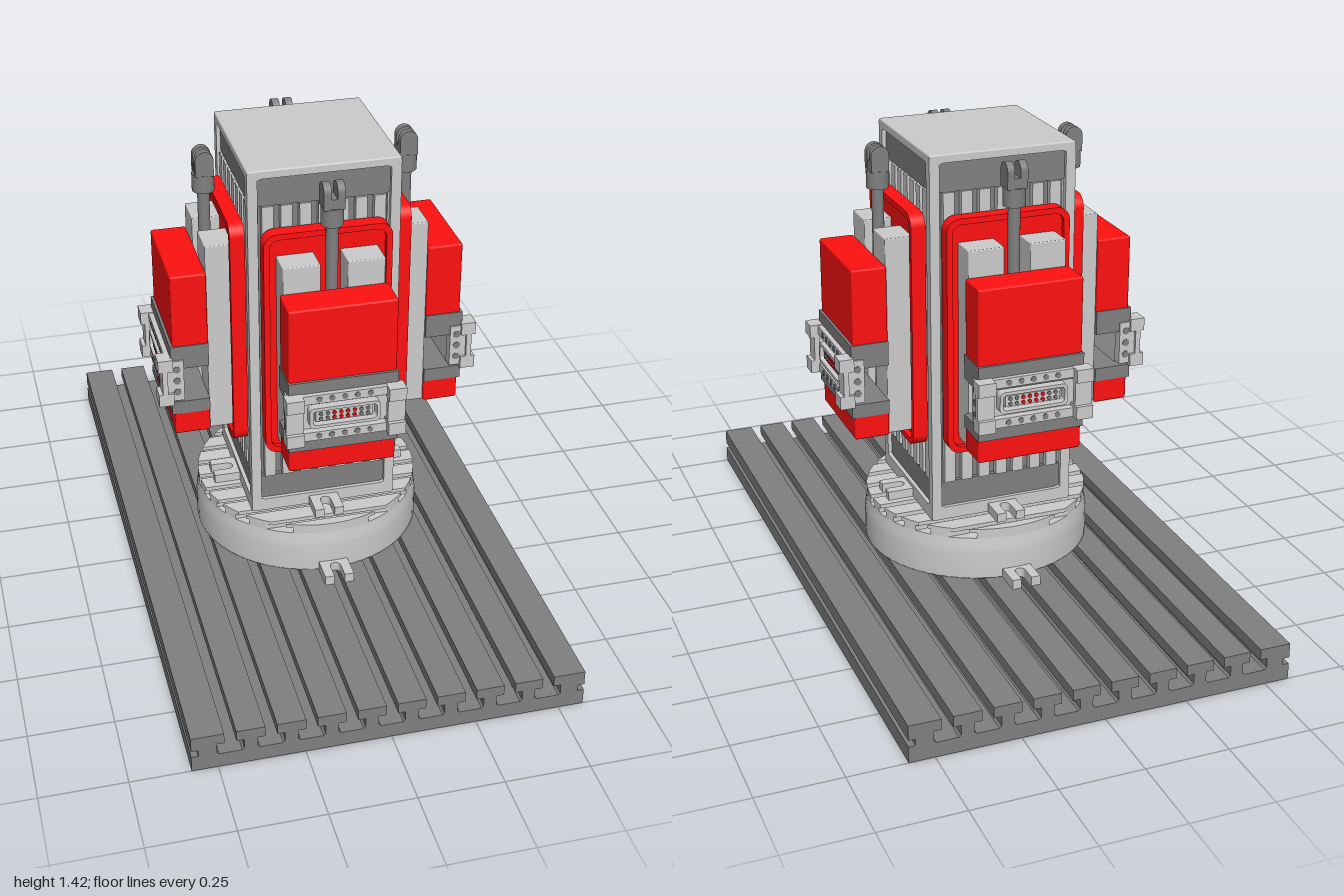
import * as THREE from 'three';
import { RoundedBoxGeometry } from 'three/addons/geometries/RoundedBoxGeometry.js';

const light = new THREE.MeshStandardMaterial({ color: 0xcccccc });
const dark = new THREE.MeshStandardMaterial({ color: 0x808080 });
const red = new THREE.MeshStandardMaterial({ color: 0xff1010 });

function add(parent, name, geometry, material, x = 0, y = 0, z = 0) {
  const mesh = new THREE.Mesh(geometry, material);
  mesh.name = name;
  mesh.position.set(x, y, z);
  parent.add(mesh);
  return mesh;
}

// Box given by its limits on each axis
function box(parent, name, material, [x0, x1], [y0, y1], [z0, z1], radius = 0) {
  const s = [x1 - x0, y1 - y0, z1 - z0];
  const g = radius ? new RoundedBoxGeometry(...s, 2, radius) : new THREE.BoxGeometry(...s);
  return add(parent, name, g, material, (x0 + x1) / 2, (y0 + y1) / 2, (z0 + z1) / 2);
}

function roundRect(path, x0, y0, x1, y1, r) {
  path.moveTo(x0 + r, y0);
  path.lineTo(x1 - r, y0).absarc(x1 - r, y0 + r, r, -Math.PI / 2, 0);
  path.lineTo(x1, y1 - r).absarc(x1 - r, y1 - r, r, 0, Math.PI / 2);
  path.lineTo(x0 + r, y1).absarc(x0 + r, y1 - r, r, Math.PI / 2, Math.PI);
  path.lineTo(x0, y0 + r).absarc(x0 + r, y0 + r, r, Math.PI, Math.PI * 1.5);
  return path;
}

const extrude = (shape, depth) =>
  new THREE.ExtrudeGeometry(shape, { depth, bevelEnabled: false, curveSegments: 8 });

// Flat plan shape (shape y runs along +z) with its top face at height top
function plan(parent, name, shape, height, top, material) {
  return add(parent, name, extrude(shape, height).rotateX(Math.PI / 2), material, 0, top, 0);
}

const polygon = pts => new THREE.Shape(pts.map(p => new THREE.Vector2(...p)));

// Slotted clamping lug pointing to +z
function lug(parent, inner, outer, height, top) {
  const s = polygon([[-0.045, inner], [0.045, inner], [0.045, outer], [0.016, outer]]);
  s.lineTo(0.016, outer - 0.05);
  s.absarc(0, outer - 0.05, 0.016, 0, Math.PI, true);
  s.lineTo(-0.016, outer);
  s.lineTo(-0.045, outer);
  plan(parent, 'clampLug', s, height, top, light);
}

// Bed plate extruded along z with nine T-slots and a groove in each side
function bedPlate(root) {
  const pts = [[-0.575, 0], [0.575, 0], [0.575, 0.05], [0.555, 0.05], [0.555, 0.07], [0.575, 0.07], [0.575, 0.115]];
  for (let i = 4; i >= -4; i--) {
    const c = i * 0.116;
    pts.push([c + 0.017, 0.115], [c + 0.017, 0.082], [c + 0.039, 0.082], [c + 0.039, 0.052], [c + 0.033, 0.046],
      [c - 0.033, 0.046], [c - 0.039, 0.052], [c - 0.039, 0.082], [c - 0.017, 0.082], [c - 0.017, 0.115]);
  }
  pts.push([-0.575, 0.115], [-0.575, 0.07], [-0.555, 0.07], [-0.555, 0.05], [-0.575, 0.05]);
  add(root, 'bedPlate', extrude(polygon(pts), 2), dark, 0, 0, -1);
}

// Strip of a disc between z = a and z = b
function discStrip(r, a, b) {
  const s = new THREE.Shape();
  const t0 = Math.asin(Math.max(-1, a / r)), t1 = Math.asin(Math.min(1, b / r));
  s.absarc(0, 0, r, t0, t1, false);
  s.absarc(0, 0, r, Math.PI - t1, Math.PI - t0, false);
  return s;
}

// Round table with T-slots running along x
function rotaryTable(root) {
  const g = new THREE.Group();
  g.name = 'rotaryTable';
  root.add(g);
  const profile = [[0, 0.115], [0.35, 0.115], [0.352, 0.12], [0.352, 0.2], [0.349, 0.22], [0.345, 0.25], [0.345, 0.25], [0, 0.25]];
  add(g, 'tableBody', new THREE.LatheGeometry(profile.map(p => new THREE.Vector2(...p)), 64), light);
  const r = 0.345, pitch = 0.076;
  for (const [half, height, top] of [[0.02, 0.018, 0.268], [0.011, 0.012, 0.28]])
    for (let i = -5; i < 5; i++) {
      const a = i === -5 ? -r : i * pitch + half;
      const b = i === 4 ? r : (i + 1) * pitch - half;
      if (b - a > 0.002) plan(g, 'tableStrip', discStrip(r, a, b), height, top, light);
    }
  for (const turn of [0, Math.PI]) {
    const side = new THREE.Group();
    side.name = 'tableLug';
    side.rotation.y = turn;
    lug(side, 0.32, 0.43, 0.03, 0.145);
    g.add(side);
  }
}

// One column face: framed recess with vertical ribs
function columnFace(g) {
  const frame = roundRect(new THREE.Shape(), -0.225, 0.28, 0.225, 1.42, 0.006);
  frame.holes.push(roundRect(new THREE.Path(), -0.205, 0.32, 0.205, 1.4, 0.025));
  add(g, 'columnFrame', extrude(frame, 0.03), light, 0, 0, 0.195);
  for (let i = -3; i <= 3; i++)
    box(g, 'columnRib', light, [i * 0.055 - 0.017, i * 0.055 + 0.017], [0.4, 1.31], [0.19, 0.22]);
  for (const s of [-1, 1])
    box(g, 'edgeRib', light, s < 0 ? [-0.207, -0.2] : [0.2, 0.207], [0.4, 1.31], [0.19, 0.22]);
  for (const [y0, y1] of [[0.32, 0.4], [1.31, 1.4]])
    add(g, 'endPanel', extrude(roundRect(new THREE.Shape(), -0.205, y0, 0.205, y1, 0.025), 0.018), dark, 0, 0, 0.195);
  lug(g, 0.2, 0.305, 0.028, 0.308);
}

// Connector bracket with end ears, hole rows and a pin insert
function connector(parent) {
  const g = new THREE.Group();
  g.name = 'connector';
  parent.add(g);
  const peg = (name, mat, x, y, z, r) =>
    add(g, name, new THREE.CylinderGeometry(r, r, 0.006, 10).rotateX(Math.PI / 2), mat, x, y, z);
  for (const s of [-1, 1]) {
    const span = (a, b) => (s < 0 ? [-b, -a] : [a, b]);
    box(g, 'ear', light, span(0.135, 0.168), [0.68, 0.815], [0.412, 0.465]);
    box(g, 'earFlange', light, span(0.125, 0.177), [0.695, 0.8], [0.462, 0.478]);
    for (const y of [0.67, 0.785])
      box(g, 'earTip', light, span(0.125, 0.177), [y, y + 0.04], [0.445, 0.49]);
    for (const y of [0.71, 0.748, 0.786])
      add(g, 'earHole', new THREE.CylinderGeometry(0.011, 0.011, 0.004, 14).rotateZ(Math.PI / 2), dark, s * 0.168, y, 0.433);
  }
  box(g, 'backBar', light, [-0.135, 0.135], [0.69, 0.805], [0.415, 0.442]);
  for (const y of [0.672, 0.795]) {
    box(g, 'crossBar', light, [-0.13, 0.13], [y, y + 0.028], [0.415, 0.465]);
    for (let i = -2; i <= 2; i++) peg('screwHole', dark, i * 0.038, y + 0.014, 0.464, 0.009);
  }
  const shell = roundRect(new THREE.Shape(), -0.105, 0.715, 0.105, 0.782, 0.015);
  shell.holes.push(roundRect(new THREE.Path(), -0.095, 0.725, 0.095, 0.772, 0.01));
  add(g, 'insertShell', extrude(shell, 0.03), light, 0, 0, 0.44);
  box(g, 'insert', light, [-0.085, 0.085], [0.732, 0.766], [0.44, 0.46]);
  for (let i = -3; i <= 4; i++)
    for (const y of [0.741, 0.757])
      peg('pin', Math.abs(i - 0.5) < 2 ? red : dark, (i - 0.5) * 0.02, y, 0.461, 0.006);
}

// Clamping module mounted on one column face
function clampModule(g) {
  // Tray with raised rim
  const outline = () => roundRect(new THREE.Shape(), -0.19, 0.517, 0.19, 1.245, 0.04);
  add(g, 'trayPlate', extrude(outline(), 0.027), red, 0, 0, 0.226);
  const rim = outline();
  rim.holes.push(roundRect(new THREE.Path(), -0.172, 0.535, 0.172, 1.227, 0.028));
  add(g, 'trayRim', extrude(rim, 0.02), red, 0, 0, 0.25);

  // Twin rails
  for (const x of [[-0.15, -0.04], [0.04, 0.15]])
    box(g, 'rail', light, x, [0.56, 1.17], [0.245, 0.336], 0.003);

  // Covers and the bands holding the connector
  box(g, 'upperCover', red, [-0.16, 0.16], [0.855, 1.09], [0.335, 0.442], 0.006);
  box(g, 'lowerCover', red, [-0.16, 0.16], [0.558, 0.635], [0.335, 0.442], 0.006);
  box(g, 'upperBand', dark, [-0.163, 0.163], [0.785, 0.86], [0.335, 0.45]);
  box(g, 'lowerBand', dark, [-0.163, 0.163], [0.63, 0.672], [0.335, 0.45]);
  connector(g);

  // Rod with forked clevis head
  add(g, 'rod', new THREE.CylinderGeometry(0.018, 0.018, 0.7, 20), dark, 0, 0.94, 0.306);
  add(g, 'clevisCollar', new THREE.CylinderGeometry(0.033, 0.033, 0.055, 24), dark, 0, 1.308, 0.306);
  const prong = new THREE.Shape();
  prong.moveTo(-0.027, 0);
  prong.lineTo(0.027, 0);
  prong.lineTo(0.027, 0.05);
  prong.absarc(0, 0.05, 0.027, 0, Math.PI, false);
  for (const x of [-0.031, 0.009])
    add(g, 'clevisProng', extrude(prong, 0.022).rotateY(Math.PI / 2), dark, x, 1.333, 0.306);
  box(g, 'clevisRoot', dark, [-0.02, 0.02], [1.33, 1.365], [0.28, 0.332]);
}

export function createModel() {
  const root = new THREE.Group();
  root.name = 'clampingTower';
  bedPlate(root);
  rotaryTable(root);

  // Column core and cap
  box(root, 'columnCore', dark, [-0.2, 0.2], [0.28, 1.41], [-0.2, 0.2]);
  box(root, 'columnCap', light, [-0.225, 0.225], [1.403, 1.425], [-0.225, 0.225], 0.005);

  // Four equal sides
  ['front', 'left', 'back', 'right'].forEach((name, i) => {
    const side = new THREE.Group();
    side.name = name + 'Side';
    side.rotation.y = i * Math.PI / 2;
    columnFace(side);
    clampModule(side);
    root.add(side);
  });
  return root;
}
